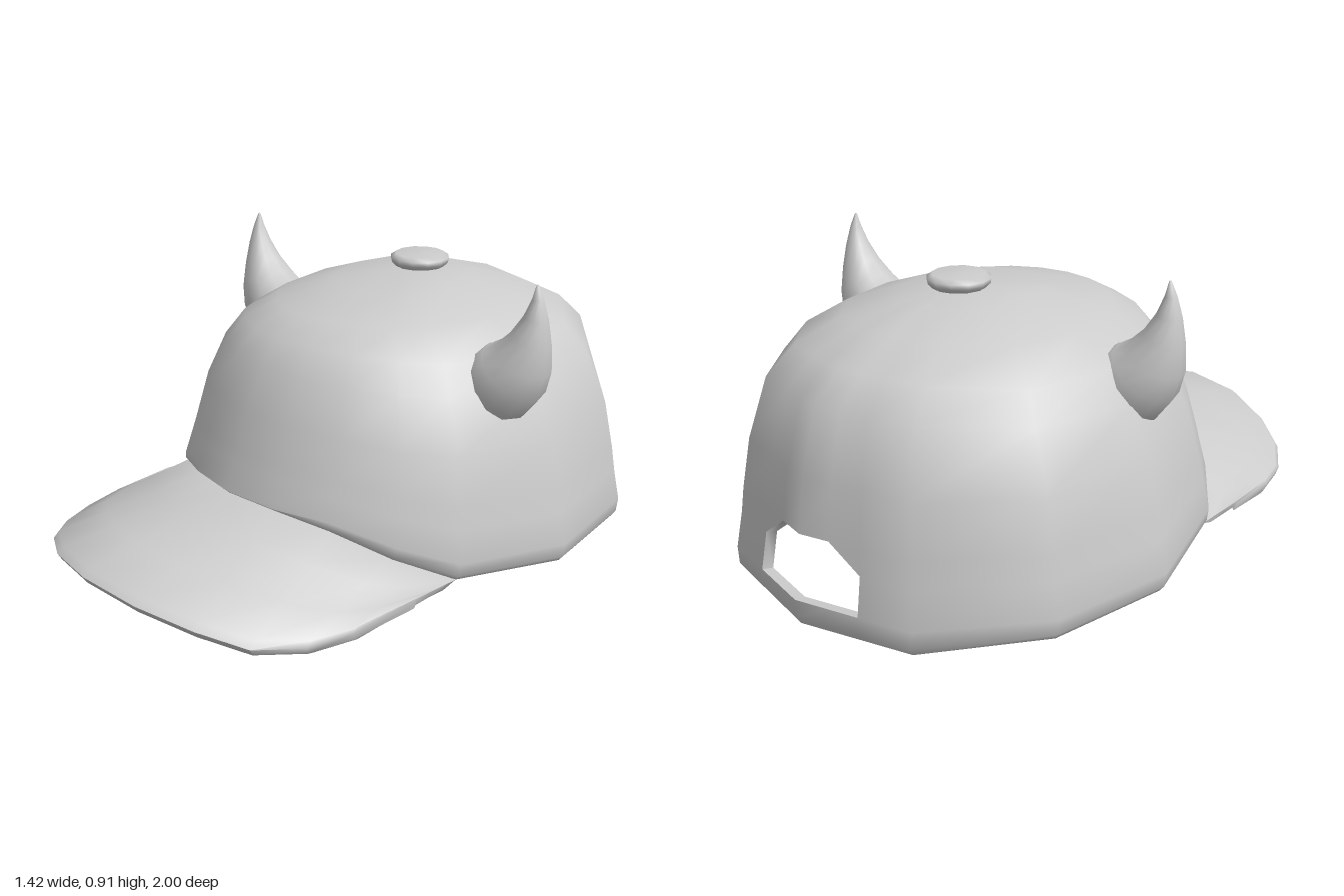
import * as THREE from 'three';
import { toCreasedNormals } from 'three/addons/utils/BufferGeometryUtils.js';

const material = new THREE.MeshStandardMaterial({ color: 0xcccccc, side: THREE.DoubleSide });
const V = (x, y, z) => new THREE.Vector3(x, y, z);

// Geometry from points and triangles, smooth except at sharp edges
function build(points, faces) {
  const g = new THREE.BufferGeometry();
  g.setAttribute('position', new THREE.Float32BufferAttribute(points.flatMap(p => p.toArray()), 3));
  g.setIndex(faces.flat());
  return toCreasedNormals(g, 1);
}

// Thick shell: outer skin, reversed inner skin, and walls along every open edge
function shell(outer, inner, faces) {
  const n = outer.length;
  const all = [...faces];
  const edges = new Set();
  for (const [a, b, c] of faces) {
    all.push([a + n, c + n, b + n]);
    for (const [p, q] of [[a, b], [b, c], [c, a]]) edges.add(`${p},${q}`);
  }
  for (const e of edges) {
    const [p, q] = e.split(',').map(Number);
    if (!edges.has(`${q},${p}`)) all.push([q, p, p + n], [q, p + n, q + n]);
  }
  return build([...outer, ...inner], all);
}

// Crown levels from rim to top: back z, y | side x, y | front z, y
const CZ = -0.25;
const levels = [
  [-0.985, 0.005, 0.69, 0.038, 0.485, 0.265],
  [-1.00, 0.03, 0.703, 0.055, 0.49, 0.27],
  [-1.00, 0.085, 0.71, 0.10, 0.485, 0.285],
  [-0.978, 0.20, 0.69, 0.20, 0.46, 0.35],
  [-0.97, 0.275, 0.675, 0.28, 0.445, 0.39],
  [-0.945, 0.43, 0.64, 0.43, 0.405, 0.50],
  [-0.89, 0.62, 0.57, 0.58, 0.345, 0.63],
  [-0.80, 0.70, 0.505, 0.67, 0.28, 0.705],
  [-0.66, 0.765, 0.38, 0.748, 0.185, 0.757],
  [-0.50, 0.81, 0.20, 0.81, 0.00, 0.795],
];

// Point on a crown ring; t = 0 front, 3 left, 6 back, 9 right. The front has finer sides.
function crownPoint(level, t) {
  const [bz, by, sx, sy, fz, fy] = levels[level];
  const corner = k => {
    const c = Math.cos(k * Math.PI / 6), s = Math.sin(k * Math.PI / 6);
    const [ez, ey] = c > 0 ? [fz, fy] : [bz, by];
    const w = THREE.MathUtils.smoothstep(c * c, 0, 1);
    const full = [4, 5, 7, 8].includes(k) ? 1.025 : 1;
    return V(sx * s * full, sy + (ey - sy) * w, CZ + (ez - CZ) * Math.abs(c) * full);
  };
  const step = t < 2 || t >= 10 ? 0.5 : 1;
  const k = Math.floor(t / step) * step;
  return corner(k).lerp(corner(k + step), (t - k) / step);
}

function crownGeometry() {
  const cols = [0, 0.5, 1, 1.5, 2, 3, 4, 5, 5.45, 5.73, 6, 6.27, 6.55, 7, 8, 9, 10, 10.5, 11, 11.5];
  const n = cols.length, rows = levels.length;
  const outer = levels.flatMap((_, j) => cols.map(t => crownPoint(j, t)));
  outer.push(V(0, 0.83, -0.3));
  const inner = outer.map((p, i) => {
    const j = Math.floor(i / n), f = j === 0 ? 0.97 : 0.955;
    return V(p.x * f, p.y - 0.025 * j / rows, CZ + (p.z - CZ) * f);
  });
  const faces = [];
  for (let j = 0; j < rows; j++) {
    for (let i = 0; i < n; i++) {
      const i2 = (i + 1) % n, t = cols[i];
      const a = j * n + i, b = j * n + i2, c = b + n, d = a + n;
      // Arched opening above the back strap
      const back = t >= 5.45 && t < 6.55;
      if (j === rows - 1) faces.push([a, b, rows * n]);
      else if (back && j === 2) continue;
      else if (back && j === 3) {
        if (t === 5.45) faces.push([a, c, d]);
        if (t === 6.27) faces.push([b, c, d]);
      } else faces.push([a, b, c], [a, c, d]);
    }
  }
  return shell(outer, inner, faces);
}

// Curved brim from the crown's front rim to its outer edge, with a rounded lip
function brimGeometry() {
  const seam = [0, 0.25, 0.5, 1, 1.5, 1.75, 2];
  const edge = [[0, 0.183, 0.995], [0.2, 0.165, 0.962], [0.36, 0.127, 0.885], [0.48, 0.085, 0.79],
    [0.558, 0.07, 0.66], [0.593, 0.073, 0.52], [0.607, 0.083, 0.3]];
  // Across the brim: fraction, drop of the top, thickness
  const across = [[0, 0, 0.008], [0.3, 0, 0.03], [0.65, 0, 0.038], [0.96, 0, 0.044], [1, 0.013, 0.022]];
  const n = 13, outer = [], inner = [], faces = [];
  across.forEach(([v, drop, thick], j) => {
    for (let i = 0; i < n; i++) {
      const k = Math.abs(6 - i), side = i <= 6 ? 1 : -1;
      const p = crownPoint(0, seam[k]).lerp(V(...edge[k]), v);
      p.x *= side;
      p.y -= drop;
      outer.push(p);
      // The underside starts at the crown's inner wall
      const f = j === 0 ? 0.955 : 0.99;
      const t = k === 6 ? Math.min(thick, 0.02) : thick;
      inner.push(V(p.x * f, p.y - t, CZ + (p.z - CZ) * f));
      if (j < across.length - 1 && i < n - 1) {
        const a = j * n + i, b = a + 1, c = b + n, d = a + n;
        faces.push([a, b, c], [a, c, d]);
      }
    }
  });
  return shell(outer, inner, faces);
}

// Curved horn lofted through round sections: x, y, radius
function hornGeometry() {
  const sections = [[0.506, 0.594, 0.12], [0.522, 0.607, 0.119], [0.552, 0.642, 0.111], [0.583, 0.69, 0.091],
    [0.608, 0.755, 0.062], [0.622, 0.82, 0.037], [0.625, 0.875, 0.018], [0.621, 0.918, 0.003]];
  const n = 12, points = [], faces = [];
  sections.forEach(([x, y, r], j) => {
    const p = sections[Math.max(j - 1, 0)], q = sections[Math.min(j + 1, sections.length - 1)];
    const dir = j < 2 ? V(0.83, 0.56, 0) : V(q[0] - p[0], q[1] - p[1], 0).normalize();
    for (let i = 0; i < n; i++) {
      const a = i / n * Math.PI * 2, u = r * Math.cos(a);
      points.push(V(x + dir.y * u, y - dir.x * u, -r * Math.sin(a)));
      if (j === 0) continue;
      const i2 = (i + 1) % n, b = (j - 1) * n;
      faces.push([b + i, b + i2, b + n + i2], [b + i, b + n + i2, b + n + i]);
    }
  });
  // Close the tip; the base sits in the crown wall
  const last = (sections.length - 1) * n;
  for (let i = 1; i < n - 1; i++) faces.push([last, last + i, last + i + 1]);
  return build(points, faces);
}

export function createModel() {
  const model = new THREE.Group();
  model.name = 'hornedCap';
  const add = (name, geometry) => {
    const mesh = new THREE.Mesh(geometry, material);
    mesh.name = name;
    model.add(mesh);
    return mesh;
  };

  add('crown', crownGeometry());
  add('brim', brimGeometry());

  // Matching horns, the right one turned half round
  const horn = hornGeometry();
  add('leftHorn', horn).position.z = -0.157;
  const right = add('rightHorn', horn);
  right.position.z = -0.157;
  right.rotation.y = Math.PI;

  // Flat button on top
  const profile = [[0, 0.82], [0.08, 0.824], [0.094, 0.838], [0.097, 0.853], [0.08, 0.865], [0, 0.867]];
  const button = new THREE.LatheGeometry(profile.map(p => new THREE.Vector2(...p)), 12);
  add('topButton', button).position.z = -0.325;

  return model;
}
